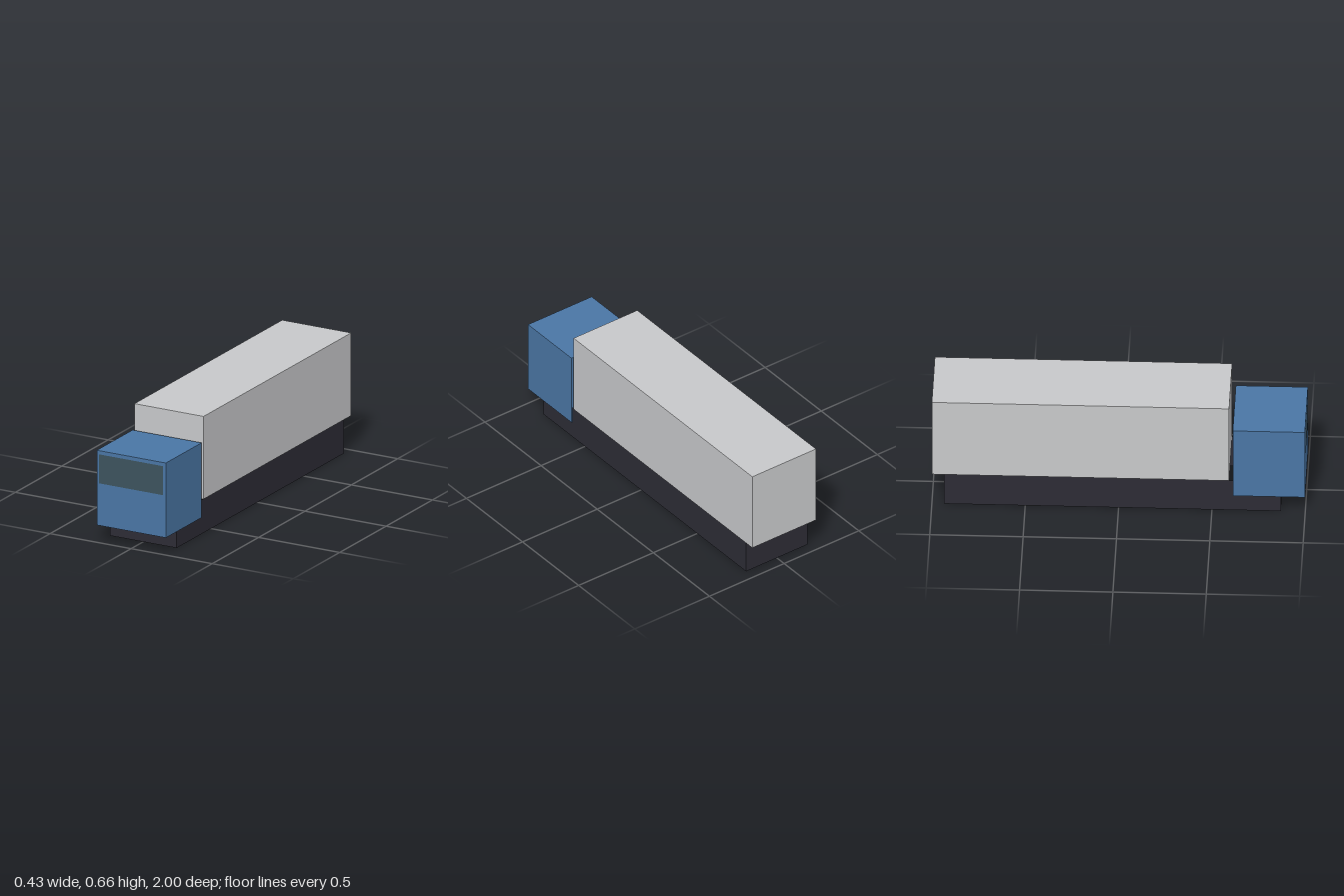
import * as THREE from 'three';

const mat = (name, color, side = THREE.DoubleSide) => {
  const m = new THREE.MeshStandardMaterial({ color, side });
  m.name = name;
  return m;
};

// Thin-walled box between y and z limits; open lists the missing faces
// (box face order: +x, -x, +y, -y, +z, -z)
const TOP = 2, BOTTOM = 3;
function shell(name, material, halfWidth, [y0, y1], [z0, z1], open) {
  const geo = new THREE.BoxGeometry(2 * halfWidth, y1 - y0, z1 - z0);
  const index = Array.from(geo.index.array);
  geo.setIndex(index.filter((_, i) => !open.includes(Math.floor(i / 6))));
  geo.clearGroups();
  geo.translate(0, (y0 + y1) / 2, (z0 + z1) / 2);
  const mesh = new THREE.Mesh(geo, material);
  mesh.name = name;
  return mesh;
}

export function createModel() {
  const truck = new THREE.Group();
  truck.name = 'boxTruck';

  // Chassis skirt: four walls, open above and below
  truck.add(shell('chassisSkirt', mat('charcoal', 0x2d2c35), 0.206, [0, 0.193], [-0.935, 0.869], [TOP, BOTTOM]));

  // Cargo box and cab: open underneath, with a narrow gap between them
  truck.add(shell('cargoBox', mat('lightGrey', 0xc8c9cb), 0.213, [0.195, 0.663], [-1, 0.592], [BOTTOM]));
  truck.add(shell('cab', mat('blue', 0x4a76a5), 0.213, [0.097, 0.52], [0.612, 0.998], [BOTTOM]));

  // Windscreen plate on the cab front
  const windscreen = new THREE.Mesh(
    new THREE.PlaneGeometry(0.393, 0.164),
    mat('darkGlass', 0x3c535e, THREE.FrontSide)
  );
  windscreen.name = 'windscreen';
  windscreen.position.set(0, 0.418, 1);
  truck.add(windscreen);

  return truck;
}
